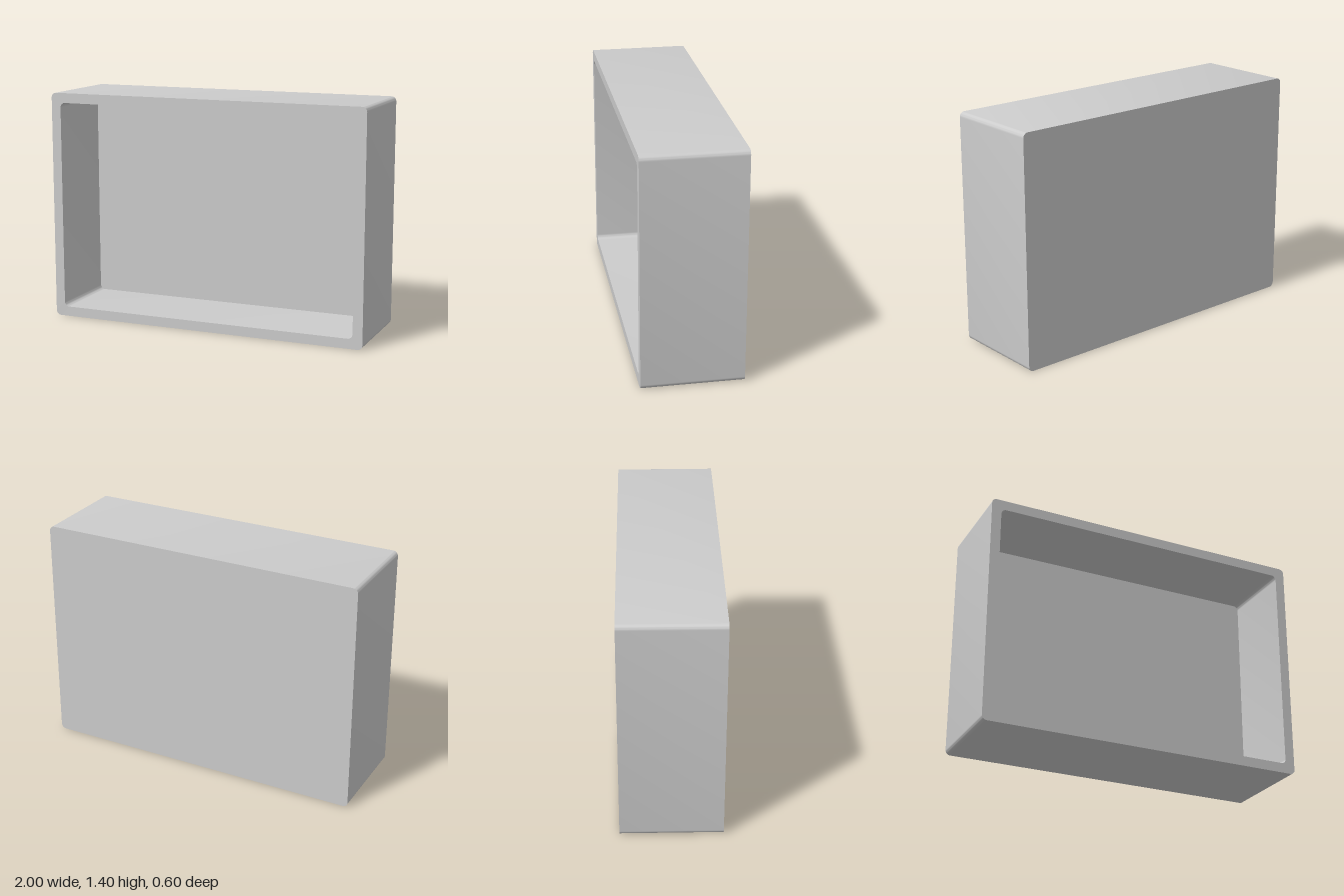
import * as THREE from 'three';
import { toCreasedNormals } from 'three/addons/utils/BufferGeometryUtils.js';

const W = 2, H = 1.4, D = 0.6;      // outer size
const WALL = 0.06, BACK = 0.12;     // rim and back panel thickness
const R = 0.03, STEPS = 8;          // corner rounding

// Rounded rectangle at depth z, counter-clockwise seen from the front
function ring(w, h, r, z) {
  const points = [];
  const corners = [[1, 1], [-1, 1], [-1, -1], [1, -1]];
  corners.forEach(([sx, sy], c) => {
    for (let i = 0; i <= STEPS; i++) {
      const a = (c + i / STEPS) * Math.PI / 2;
      points.push([sx * (w / 2 - r) + r * Math.cos(a), H / 2 + sy * (h / 2 - r) + r * Math.sin(a), z]);
    }
  });
  return points;
}

// Skin consecutive rings; a ring of size 0 closes the surface to a point
function loft(rings) {
  const pos = [];
  const n = rings[0].length;
  const same = (p, q) => Math.hypot(p[0] - q[0], p[1] - q[1], p[2] - q[2]) < 1e-6;
  const tri = (a, b, c) => {
    if (!same(a, b) && !same(b, c) && !same(c, a)) pos.push(...a, ...b, ...c);
  };
  for (let k = 0; k < rings.length - 1; k++) {
    for (let i = 0; i < n; i++) {
      const j = (i + 1) % n, a = rings[k], b = rings[k + 1];
      tri(a[i], a[j], b[j]);
      tri(a[i], b[j], b[i]);
    }
  }
  const geometry = new THREE.BufferGeometry();
  geometry.setAttribute('position', new THREE.Float32BufferAttribute(pos, 3));
  return toCreasedNormals(geometry, 0.6);
}

export function createModel() {
  const model = new THREE.Group();
  model.name = 'openBox';

  const innerW = W - 2 * WALL, innerH = H - 2 * WALL;
  const shell = new THREE.Mesh(
    loft([
      ring(0, 0, 0, -D / 2),                  // centre of the back
      ring(W, H, R, -D / 2),                  // outer walls
      ring(W, H, R, D / 2),
      ring(innerW, innerH, R, D / 2),         // front rim to recess
      ring(innerW, innerH, R, -D / 2 + BACK),
      ring(0, 0, 0, -D / 2 + BACK),           // recess floor
    ]),
    new THREE.MeshStandardMaterial({ color: 0xcccccc })
  );
  shell.name = 'boxShell';
  model.add(shell);
  return model;
}
